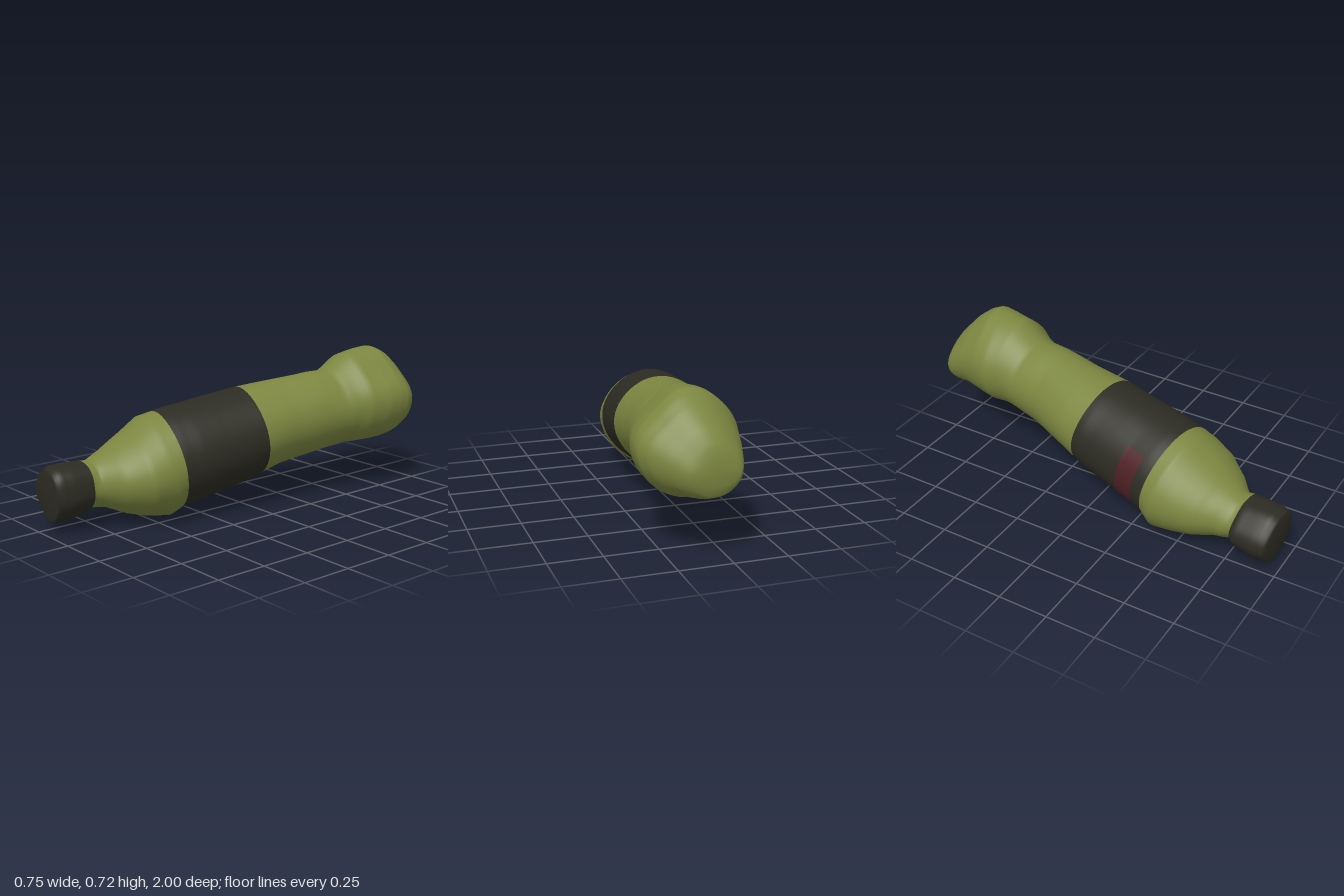
import * as THREE from 'three';

// Outline of the bottle along its length: z, min x, max x, min y, max y
const OUTLINE = [
  [-1, -0.02, 0.18, 0.35, 0.46], [-0.985, -0.04, 0.21, 0.3, 0.52], [-0.95, -0.055, 0.26, 0.285, 0.575],
  [-0.88, -0.075, 0.34, 0.275, 0.655], [-0.82, -0.09, 0.37, 0.255, 0.7], [-0.77, -0.105, 0.372, 0.245, 0.725],
  [-0.7, -0.12, 0.365, 0.24, 0.717], [-0.6, -0.1, 0.335, 0.24, 0.7], [-0.55, -0.1, 0.3, 0.235, 0.665],
  [-0.49, -0.112, 0.278, 0.225, 0.625], [-0.4, -0.13, 0.262, 0.21, 0.623], [-0.2, -0.21, 0.235, 0.175, 0.603],
  [-0.06, -0.255, 0.228, 0.132, 0.59], [0, -0.265, 0.226, 0.11, 0.585], [0.2, -0.305, 0.195, 0.065, 0.557],
  [0.34, -0.345, 0.178, 0.035, 0.535], [0.4, -0.375, 0.165, 0.003, 0.525], [0.5, -0.365, 0.152, 0.02, 0.497],
  [0.6, -0.34, 0.128, 0.045, 0.43], [0.7, -0.3, 0.045, 0.088, 0.362], [0.77, -0.288, -0.045, 0.097, 0.322],
  [0.8, -0.318, -0.06, 0.075, 0.322], [0.9, -0.328, -0.065, 0.05, 0.325], [0.96, -0.322, -0.075, 0.055, 0.322],
  [0.98, -0.3, -0.085, 0.075, 0.305],
];
const SEGMENTS = 56;

function outlineAt(z, column) {
  const last = OUTLINE.length - 1;
  if (z <= OUTLINE[0][0]) return OUTLINE[0][column];
  if (z >= OUTLINE[last][0]) return OUTLINE[last][column];
  const i = OUTLINE.findIndex((row) => row[0] > z);
  const a = OUTLINE[i - 1], b = OUTLINE[i];
  return THREE.MathUtils.lerp(a[column], b[column], (z - a[0]) / (b[0] - a[0]));
}

// Fullness of a section between its four extremes, per quadrant
const ROUND = [0.97, 0.97, 0.98, 0.98];
const BASE = [0.88, 0.95, 1, 0.98];
const CAP = [1.12, 0.9, 0.91, 0.95];

// Sections lean so that they stay square to the tilted axis
function surfacePoint(z, angle, lift = 0) {
  const baseBlend = 1 - THREE.MathUtils.smoothstep(z, -0.75, -0.4);
  const capBlend = THREE.MathUtils.smoothstep(z, 0.72, 0.81);
  const lean = (1 - baseBlend) * (1 - 0.5 * capBlend);
  const leanX = 0.2 * lean, leanY = 0.17 * lean;
  const dx = leanX * (outlineAt(z, 2) - outlineAt(z, 1)) / 2;
  const dy = leanY * (outlineAt(z, 4) - outlineAt(z, 3)) / 2;
  const x0 = outlineAt(z - dx, 1), x1 = outlineAt(z + dx, 2);
  const y0 = outlineAt(z - dy, 3), y1 = outlineAt(z + dy, 4);
  const q = Math.floor(angle / (Math.PI / 2)) % 4;
  let full = THREE.MathUtils.lerp(ROUND[q], BASE[q], baseBlend);
  full = THREE.MathUtils.lerp(full, CAP[q], capBlend);
  const r = 1 + (full - 1) * Math.sin(2 * angle) ** 2;
  const px = Math.cos(angle) * ((x1 - x0) / 2 * r + lift);
  const py = Math.sin(angle) * ((y1 - y0) / 2 * r + lift);
  return [(x0 + x1) / 2 + px, (y0 + y1) / 2 + py, z + leanX * px + leanY * py];
}

// Skin between two stations; optional closed ends
function skin(name, material, z0, z1, closeBack = false, closeFront = false) {
  const rows = Math.ceil((z1 - z0) / 0.0125);
  const points = [], index = [];
  for (let i = 0; i <= rows; i++) {
    for (let j = 0; j < SEGMENTS; j++) {
      points.push(...surfacePoint(z0 + (z1 - z0) * i / rows, j / SEGMENTS * Math.PI * 2));
      if (i === rows) continue;
      const a = i * SEGMENTS + j, b = i * SEGMENTS + (j + 1) % SEGMENTS;
      index.push(a, b, a + SEGMENTS, b, b + SEGMENTS, a + SEGMENTS);
    }
  }
  const closeEnd = (row, front) => {
    const start = row * SEGMENTS * 3, hub = points.length / 3;
    const ring = points.slice(start, start + SEGMENTS * 3);
    const mid = [0, 1, 2].map((k) => ring.reduce((s, v, n) => (n % 3 === k ? s + v : s), 0) / SEGMENTS);
    points.push(...mid);
    for (let j = 0; j < SEGMENTS; j++) {
      const a = row * SEGMENTS + j, b = row * SEGMENTS + (j + 1) % SEGMENTS;
      index.push(hub, front ? a : b, front ? b : a);
    }
  };
  if (closeBack) closeEnd(0, false);
  if (closeFront) closeEnd(rows, true);
  return makeMesh(name, material, points, index);
}

function makeMesh(name, material, points, index) {
  const geometry = new THREE.BufferGeometry();
  geometry.setAttribute('position', new THREE.Float32BufferAttribute(points, 3));
  geometry.setIndex(index);
  geometry.computeVertexNormals();
  const mesh = new THREE.Mesh(geometry, material);
  mesh.name = name;
  return mesh;
}

// Thin painted patch following the label surface
function patch(name, material, z0, z1, from, to) {
  const points = [], index = [], n = 14;
  for (let i = 0; i <= n; i++) {
    for (let j = 0; j <= n; j++) {
      points.push(...surfacePoint(z0 + (z1 - z0) * i / n, from + (to - from) * j / n, 0.003));
      if (i === n || j === n) continue;
      const a = i * (n + 1) + j, c = a + n + 1;
      index.push(a, a + 1, c, a + 1, c + 1, c);
    }
  }
  return makeMesh(name, material, points, index);
}

export function createModel() {
  const paint = (name, color) => {
    const material = new THREE.MeshStandardMaterial({ color });
    material.name = name;
    return material;
  };
  const green = paint('olive green', 0x7c8640);
  const dark = paint('dark brown', 0x2d2c23);
  const red = paint('dark red', 0x4e2024);

  const model = new THREE.Group();
  model.name = 'bottle';
  model.add(
    skin('lowerBody', green, -1, -0.045, true),
    skin('label', dark, -0.045, 0.395),
    skin('shoulder', green, 0.395, 0.795),
    skin('cap', dark, 0.795, 0.98, false, true),
    patch('labelMark', red, 0.235, 0.335, Math.PI * 0.78, Math.PI * 1.15),
  );
  return model;
}
